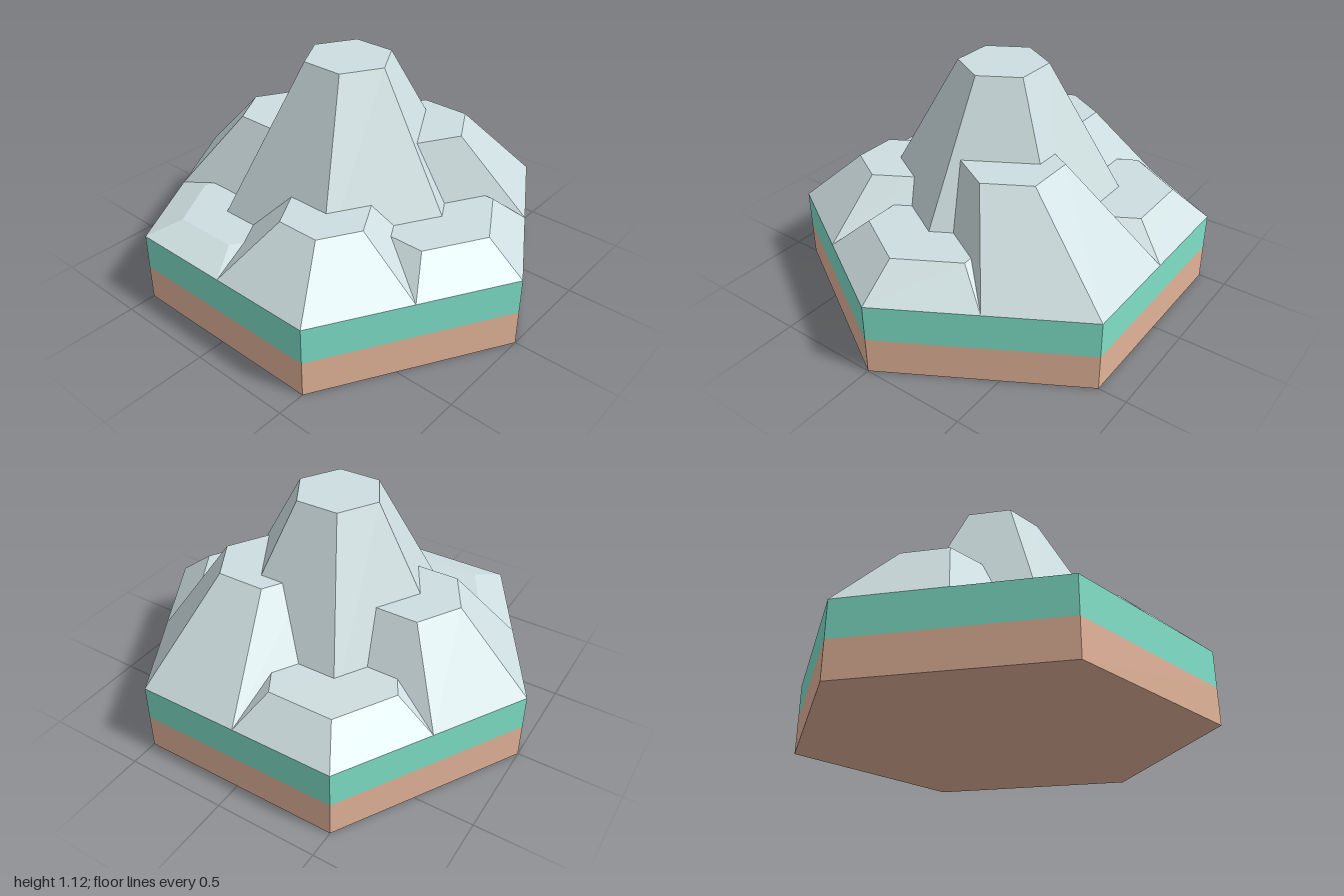
import * as THREE from 'three';

const SIDES = 6;
const GROUND = 0.35;

const material = (color) => new THREE.MeshStandardMaterial({ color, flatShading: true });

// Six-sided frustum with corners towards +z and -z; its top may be shifted sideways.
function hexFrustum(name, mat, { base, top, y0, y1, shift = [0, 0] }) {
  const h = y1 - y0;
  const geometry = new THREE.CylinderGeometry(top, base, h, SIDES);
  geometry.translate(0, y0 + h / 2, 0);
  const p = geometry.attributes.position;
  for (let i = 0; i < p.count; i++) {
    if (p.getY(i) > y0 + h / 2) {
      p.setX(i, p.getX(i) + shift[0]);
      p.setZ(i, p.getZ(i) + shift[1]);
    }
  }
  geometry.computeVertexNormals();
  const mesh = new THREE.Mesh(geometry, mat);
  mesh.name = name;
  return mesh;
}

export function createModel() {
  const model = new THREE.Group();
  model.name = 'mountainTile';
  const rock = material(0xcedee0);
  const soil = material(0xe3b49a);
  const grass = material(0x7fe0c8);

  // Tile: soil layer with a grass layer on top
  model.add(hexFrustum('soilLayer', soil, { base: 1, top: 1, y0: 0, y1: 0.175 }));
  model.add(hexFrustum('grassLayer', grass, { base: 1, top: 1, y0: 0.175, y1: GROUND }));

  // Central peak
  model.add(hexFrustum('centralPeak', rock, { base: 0.642, top: 0.21, y0: GROUND, y1: 1.12 }));

  // One foothill reaching out to each corner, counted from the front towards +x
  const hills = [
    { name: 'frontHill', y1: 0.493, top: 0.32, shift: [0, -0.005] },
    { name: 'frontLeftHill', y1: 0.785, top: 0.235, shift: [-0.203, 0] },
    { name: 'backLeftHill', y1: 0.493, top: 0.32 },
    { name: 'backHill', y1: 0.715, top: 0.231, shift: [0, 0.09] },
    { name: 'backRightHill', y1: 0.408, top: 0.32 },
    { name: 'frontRightHill', y1: 0.59, top: 0.21 },
  ];
  hills.forEach(({ name, ...size }, i) => {
    const a = (i / SIDES) * Math.PI * 2;
    const hill = hexFrustum(name, rock, { base: 0.5, y0: GROUND, ...size });
    hill.position.set(Math.sin(a) * 0.5, 0, Math.cos(a) * 0.5);
    model.add(hill);
  });

  return model;
}
